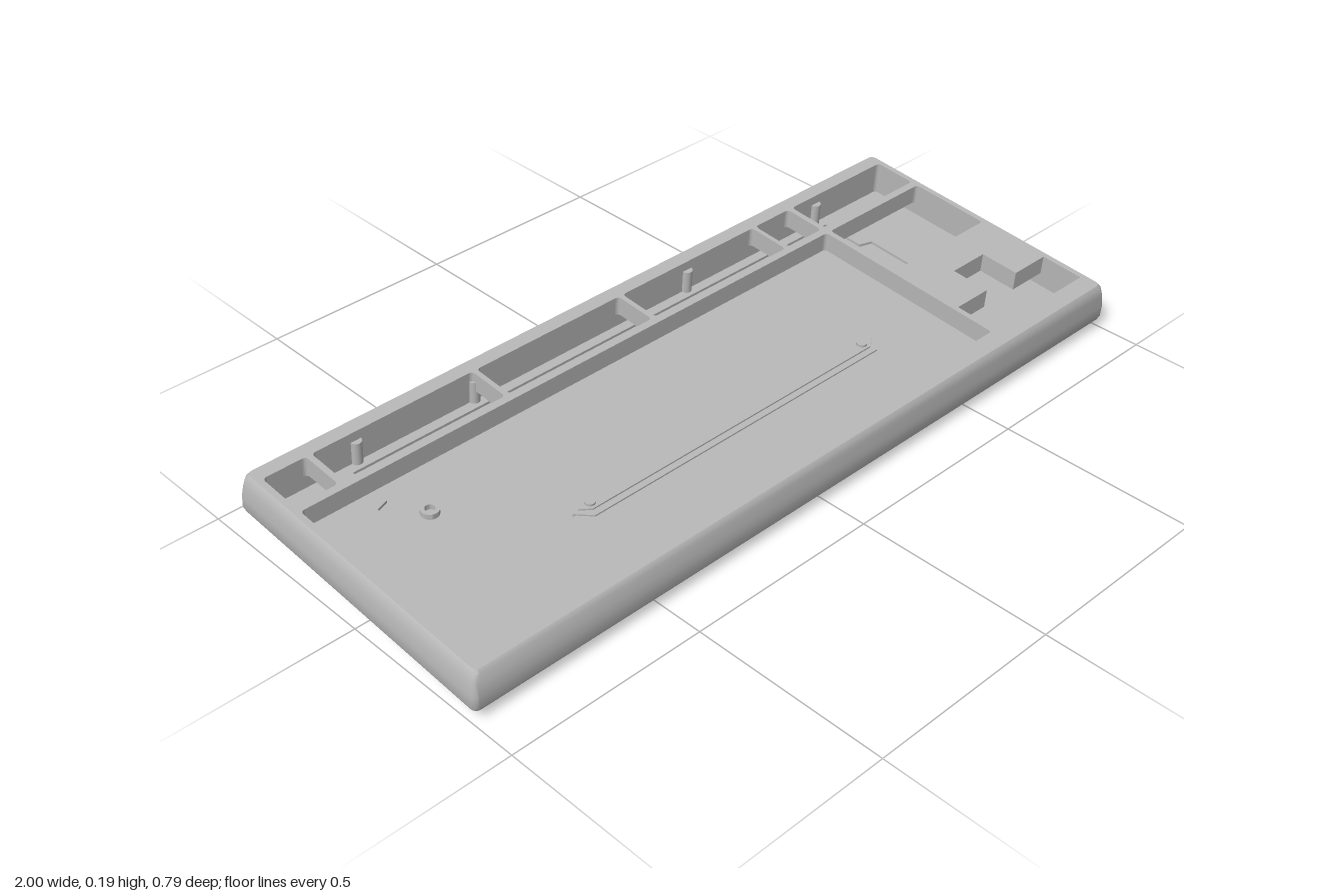
import * as THREE from 'three';
import { toCreasedNormals } from 'three/addons/utils/BufferGeometryUtils.js';

const grey = new THREE.MeshStandardMaterial({ color: 0xb8b8b8, side: THREE.DoubleSide });
grey.name = 'caseGrey';

// Outline in plan, given as [x, z] corners
const outline = (pts) => pts.map(([x, z]) => new THREE.Vector2(x, -z));

// Rectangle in plan with rounded corners
function roundRect(x0, x1, z0, z1, r = 0.01, n = 4) {
  const pts = [];
  [[x1 - r, z1 - r], [x0 + r, z1 - r], [x0 + r, z0 + r], [x1 - r, z0 + r]].forEach(([cx, cz], k) => {
    for (let i = 0; i <= n; i++) {
      const a = (k + i / n) * Math.PI / 2;
      pts.push([cx + r * Math.cos(a), cz + r * Math.sin(a)]);
    }
  });
  return pts;
}

// Slab between two heights, with holes
function slab(pts, holes, y0, y1) {
  const shape = new THREE.Shape(outline(pts));
  for (const h of holes) shape.holes.push(new THREE.Path(outline(h)));
  const g = new THREE.ExtrudeGeometry(shape, { depth: y1 - y0, bevelEnabled: false });
  return g.rotateX(-Math.PI / 2).translate(0, y0, 0);
}

// Skin through cross-sections that all have the same number of points
function loft(sections, closed, crease) {
  const n = sections[0].length, idx = [];
  for (let s = 0; s < sections.length - 1; s++) {
    for (let i = 0; i < (closed ? n : n - 1); i++) {
      const a = s * n + i, b = s * n + (i + 1) % n;
      idx.push(a, b, a + n, b, b + n, a + n);
    }
  }
  const g = new THREE.BufferGeometry();
  g.setAttribute('position', new THREE.Float32BufferAttribute(sections.flat(2), 3));
  g.setIndex(idx);
  return toCreasedNormals(g, crease);
}

export function createModel() {
  const model = new THREE.Group();
  model.name = 'keyboardCase';
  // The case is built level, top face at y = 0, then tilted towards the front
  const body = new THREE.Group();
  body.name = 'tiltedBody';
  body.position.y = 0.16;
  body.rotation.x = 0.079;
  model.add(body);
  const add = (name, geometry, x = 0, y = 0, z = 0) => {
    const m = new THREE.Mesh(geometry, grey);
    m.name = name;
    m.position.set(x, y, z);
    body.add(m);
    return m;
  };

  // Outer wall: half width, back z, front z, height
  const rings = [
    [0.985, -0.372, 0.385, 0], [0.991, -0.377, 0.391, -0.008], [0.996, -0.381, 0.396, -0.03],
    [1, -0.385, 0.4, -0.06], [1, -0.386, 0.4, -0.09], [0.996, -0.383, 0.397, -0.1],
    [0.988, -0.377, 0.39, -0.104], [0.975, -0.366, 0.377, -0.104], [0.972, -0.363, 0.374, -0.094],
  ];
  add('outerWall', loft(rings.map(([w, zb, zf, y]) =>
    roundRect(-w, w, zb, zf, 0.014).map(([x, z]) => [x, y, z])), true, 0.6));

  // Top plate with openings for the key groups
  const openings = [
    [-0.97, -0.86, -0.335, -0.22], [-0.845, -0.405, -0.335, -0.22], [-0.392, 0.042, -0.335, -0.22],
    [0.055, 0.495, -0.335, -0.22], [0.507, 0.625, -0.335, -0.22], [0.64, 0.97, -0.335, -0.22],
    [-0.97, 0.625, -0.2, 0.335], [0.64, 0.97, -0.2, 0.02],
  ].map((r) => roundRect(...r));
  openings.push([[0.64, 0.22], [0.748, 0.22], [0.748, 0.115], [0.86, 0.115],
    [0.86, 0.22], [0.97, 0.22], [0.97, 0.335], [0.64, 0.335]]);
  add('topPlate', slab(roundRect(-0.985, 0.985, -0.372, 0.385, 0.014), openings, -0.05, 0));

  // Inner wall beneath the plate
  add('innerWall', slab(roundRect(-0.98, 0.98, -0.37, 0.38), [roundRect(-0.97, 0.97, -0.335, 0.335)], -0.094, -0.05));

  // Floor with a shallow tray for the circuit board
  const tray = [
    [-0.76, -0.31], [0.75, -0.31], [0.75, -0.19], [0.785, -0.18], [0.785, -0.02], [0.75, -0.02],
    [0.75, 0.11], [-0.76, 0.11], [-0.76, -0.02], [-0.792, -0.03], [-0.792, -0.18], [-0.76, -0.19],
  ];
  add('floor', slab(roundRect(-0.975, 0.975, -0.36, 0.37), [tray], -0.094, -0.085));
  add('trayFloor', new THREE.BoxGeometry(1.7, 0.004, 0.5), 0, -0.094, -0.1);

  // Long bar with pointed ends across the tray edge
  const bar = (e) => [
    [-0.49 + e, 0.105], [-0.455 + e / 2, 0.07 + e], [0.45 - e / 2, 0.07 + e],
    [0.485 - e, 0.105], [0.45 - e / 2, 0.14 - e], [-0.455 + e / 2, 0.14 - e],
  ];
  add('floorBar', slab(bar(0), [], -0.092, -0.081));
  add('floorBarTop', slab(bar(0.016), [], -0.081, -0.077));

  // Screw bosses: a ring around a sunken pin
  const ring = new THREE.LatheGeometry([[0.012, -0.01], [0.012, 0.006], [0.022, 0.006], [0.022, -0.01]]
    .map(([r, y]) => new THREE.Vector2(r, y)), 24);
  const boss = toCreasedNormals(ring, 0.6);
  const spots = [[-0.71, -0.27], [-0.71, -0.105], [0.705, -0.27], [0.705, -0.105]];
  for (const [x, z] of spots) add('screwBoss', boss, x, -0.084, z);
  for (const x of [-0.44, 0.432]) {
    add('barScrew', new THREE.CylinderGeometry(0.013, 0.013, 0.008, 20), x, -0.075, 0.105);
  }

  // Mounting posts against the front and back walls
  const post = new THREE.CylinderGeometry(0.014, 0.014, 0.06, 16);
  for (const x of [-0.83, 0.33, 0.75]) add('frontPost', post, x, -0.055, 0.335);
  for (const x of [-0.73, -0.4, 0.27, 0.73]) add('backPost', post, x, -0.055, -0.335);

  // Belly wedge with scooped flanks: z, half width of the flat, depth
  const rim = -0.096;
  const stations = [[0.372, 0.965, rim], [0.36, 0.96, -0.1], [0.3, 0.945, -0.108]];
  for (let i = 1; i <= 12; i++) {
    const t = i / 12;
    stations.push([0.3 - 0.586 * t, 0.945 - 0.165 * t, -0.108 - 0.075 * t]);
  }
  stations.push([-0.352, 0.8, -0.113], [-0.362, 0.82, rim]);
  add('belly', loft(stations.map(([z, w, y]) => {
    const half = [];
    for (let i = 0; i <= 10; i++) {
      const t = i / 10, u = 1 - t;
      const mid = w + (0.972 - w) * 0.35;
      half.push([u * u * 0.972 + 2 * u * t * mid + t * t * w,
        u * u * rim + 2 * u * t * (rim + (y - rim) * 0.3) + t * t * y, z]);
    }
    return [...half, ...half.slice().reverse().map(([x, py, pz]) => [-x, py, pz])];
  }), false, 0.35));

  // Access panel on the underside
  const panel = add('accessPanel', slab(roundRect(-0.6, 0.6, -0.15, 0.15, 0.012), [], -0.002, 0.002), 0, -0.1615, -0.12);
  panel.rotation.x = -0.127;

  // Cable socket at the back of the belly
  const stadium = (w, h) => {
    const r = h / 2, pts = [];
    for (let i = 0; i < 24; i++) {
      const a = (i + 0.5) / 24 * Math.PI * 2;
      pts.push(new THREE.Vector2(Math.sign(Math.cos(a)) * (w / 2 - r) + r * Math.cos(a), r * Math.sin(a)));
    }
    return pts;
  };
  const socket = new THREE.Shape(stadium(0.08, 0.04));
  socket.holes.push(new THREE.Path(stadium(0.062, 0.022)));
  add('cableSocket', toCreasedNormals(new THREE.ExtrudeGeometry(socket, { depth: 0.04, bevelEnabled: false }), 0.6), 0, -0.143, -0.347);

  return model;
}
